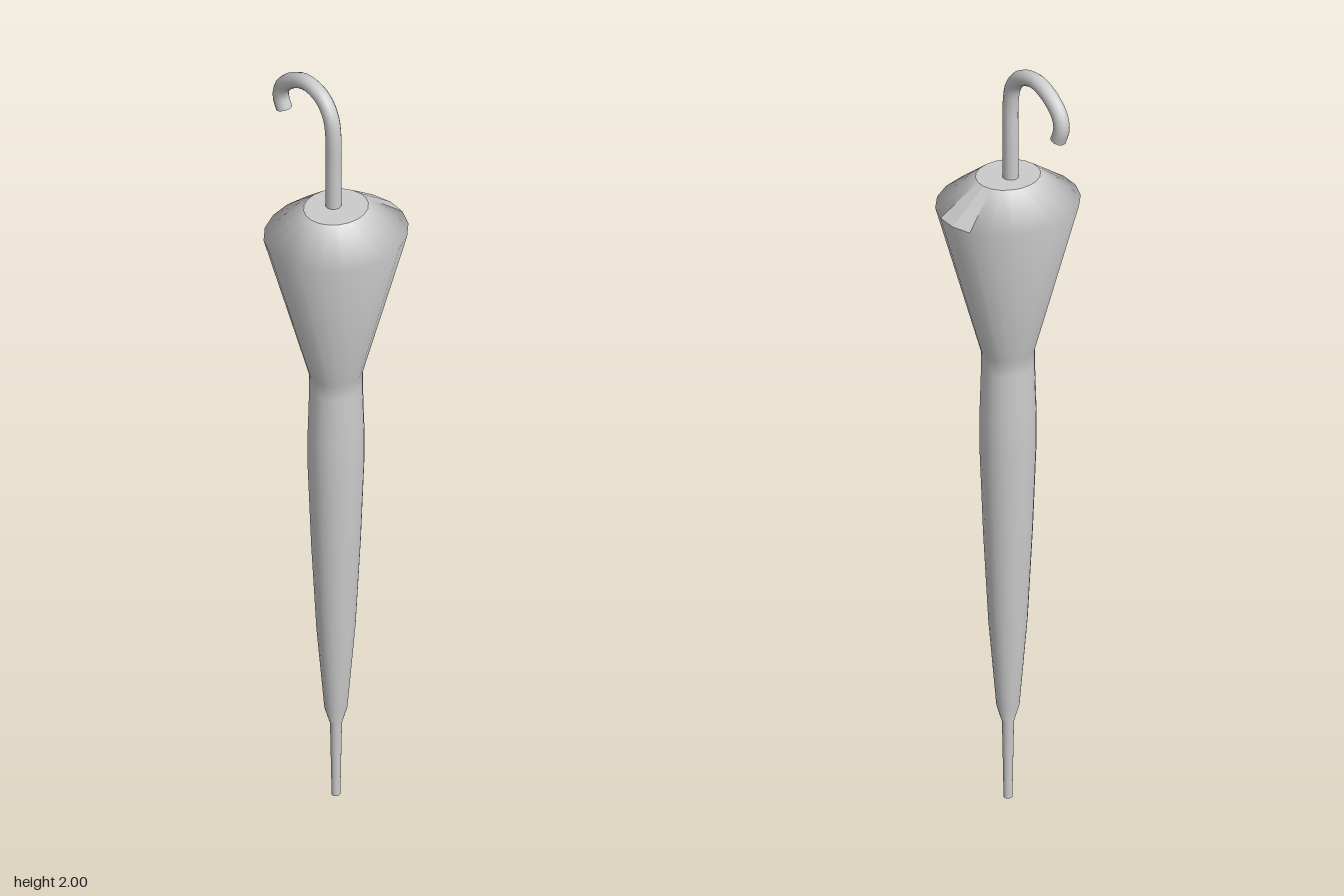
import * as THREE from 'three';

const SIDES = 20;
const CX = 0.028, CZ = -0.002; // canopy axis
const SQUASH = 0.9;            // canopy is slightly oval

// Folded canopy profile from ferrule tip to shoulder: [radius, height]
const PROFILE = [
  [0.011, 0], [0.015, 0.205], [0.029, 0.25], [0.049, 0.48], [0.062, 0.72],
  [0.071, 0.95], [0.071, 1.04], [0.067, 1.17], [0.067, 1.21], [0.181, 1.61], [0.081, 1.682],
];

// Flatten the shading of every triangle accepted by the test
function flattenFaces(geometry, test) {
  const g = geometry.toNonIndexed();
  const p = g.attributes.position, n = g.attributes.normal;
  const tri = new THREE.Triangle(), mid = new THREE.Vector3(), normal = new THREE.Vector3();
  for (let i = 0; i < p.count; i += 3) {
    tri.setFromAttributeAndIndices(p, i, i + 1, i + 2);
    if (!test(tri.getMidpoint(mid))) continue;
    tri.getNormal(normal);
    for (let k = i; k < i + 3; k++) n.setXYZ(k, normal.x, normal.y, normal.z);
  }
  return g;
}

export function createModel() {
  const model = new THREE.Group();
  model.name = 'umbrella';
  const material = new THREE.MeshStandardMaterial({ color: 0xcccccc });
  const add = (name, geometry, parent) => {
    const mesh = new THREE.Mesh(geometry, material);
    mesh.name = name;
    parent.add(mesh);
    return mesh;
  };

  // Furled canopy with a flat panel at the back of the shoulder
  const canopy = new THREE.Group();
  canopy.name = 'canopy';
  canopy.position.set(CX, 0, CZ);
  model.add(canopy);
  const lathe = new THREE.LatheGeometry(PROFILE.map(([r, y]) => new THREE.Vector2(r, y)), SIDES);
  lathe.scale(SQUASH, 1, 1);
  add('furledCanopy', flattenFaces(lathe, (m) =>
    m.y > 1.62 && m.z < 0 && Math.abs(m.x / m.z) < Math.tan(Math.PI / 10)), canopy);

  // Flat discs closing the shoulder and the ferrule tip
  const cap = (name, radius, y, up) => {
    const disc = new THREE.CircleGeometry(radius, SIDES);
    disc.rotateX(up ? -Math.PI / 2 : Math.PI / 2);
    disc.scale(SQUASH, 1, 1);
    add(name, disc, canopy).position.y = y;
  };
  cap('shoulderDisc', 0.081, 1.682, true);
  cap('ferruleTip', 0.011, 0, false);

  // Shaft and crooked handle, leaning a little backwards at the end
  const handle = new THREE.Group();
  handle.name = 'handle';
  model.add(handle);
  const R = 0.0195;
  const path = new THREE.CatmullRomCurve3([
    [0.018, 1.66, -0.003], [0.018, 1.78, -0.003], [0.018, 1.88, -0.003], [0.008, 1.93, -0.004],
    [-0.024, 1.967, -0.008], [-0.08, 1.981, -0.012], [-0.133, 1.96, -0.016],
    [-0.168, 1.925, -0.019], [-0.176, 1.893, -0.021], [-0.166, 1.862, -0.022],
  ].map((p) => new THREE.Vector3(...p)));
  add('crookHandle', new THREE.TubeGeometry(path, 40, R, 12), handle);

  // Flat end of the crook
  const end = add('handleEnd', new THREE.CircleGeometry(R, 12), handle);
  end.position.copy(path.getPoint(1));
  end.quaternion.setFromUnitVectors(new THREE.Vector3(0, 0, 1), path.getTangent(1));

  return model;
}
